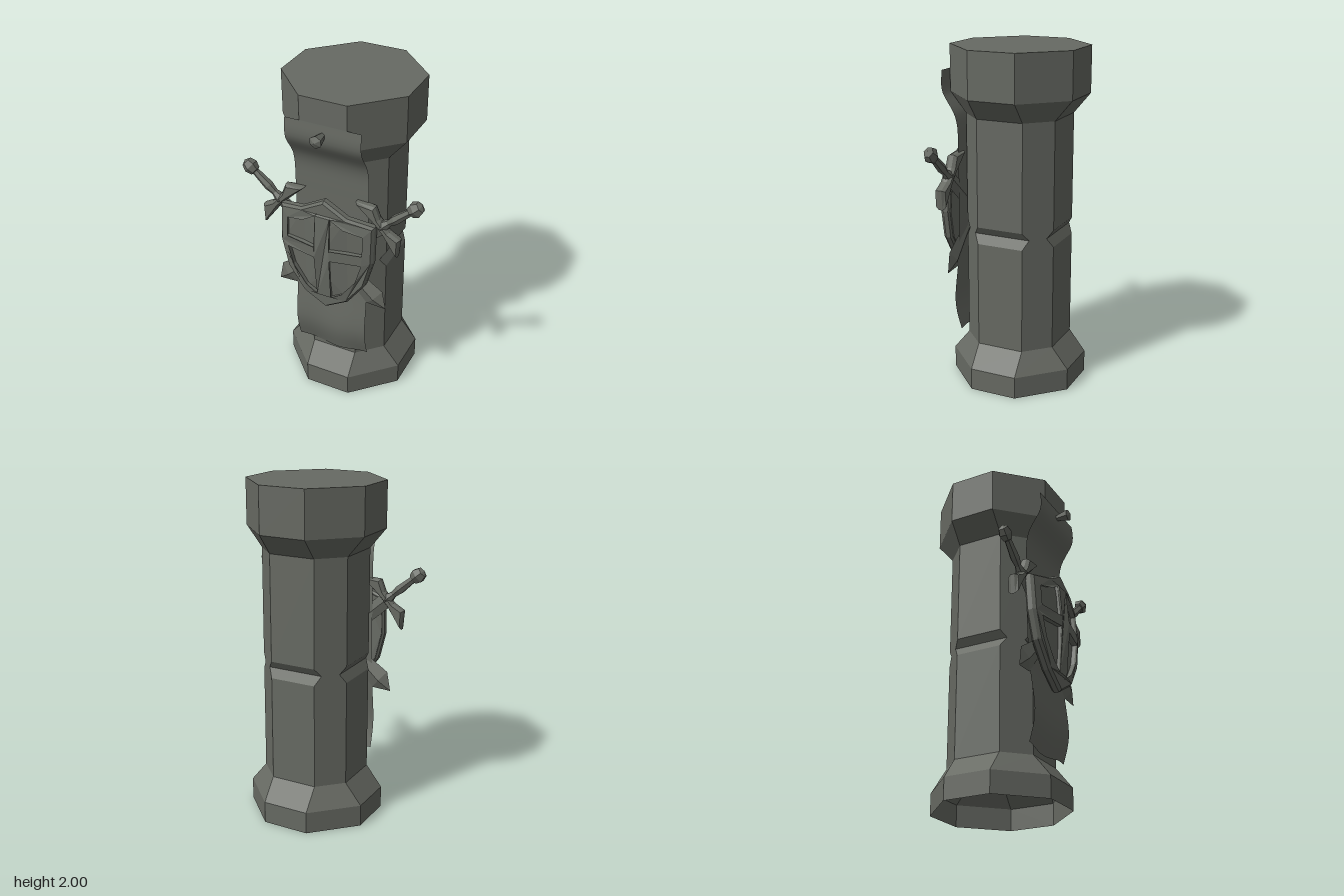
import * as THREE from 'three';

const stone = new THREE.MeshStandardMaterial({ color: 0x676a63, flatShading: true, side: THREE.DoubleSide });
stone.name = 'grey stone';
// same colour, smooth shading for the cloth
const cloth = new THREE.MeshStandardMaterial({ color: 0x676a63, side: THREE.DoubleSide });
cloth.name = 'grey cloth';

function add(parent, name, geometry, material = stone) {
  const mesh = new THREE.Mesh(geometry, material);
  mesh.name = name;
  parent.add(mesh);
  return mesh;
}

function shapeOf(points) {
  return new THREE.Shape(points.map(([x, y]) => new THREE.Vector2(x, y)));
}

// Eight-sided column lofted through rings: [height, apothem, half width of main faces]
function columnGeometry(rings, cz) {
  const pos = [];
  const loops = rings.map(([y, a, h]) =>
    [[a, h], [h, a], [-h, a], [-a, h], [-a, -h], [-h, -a], [h, -a], [a, -h]].map(([x, z]) => [x, y, z + cz]));
  for (let r = 0; r < loops.length - 1; r++) {
    for (let i = 0; i < 8; i++) {
      const j = (i + 1) % 8, b = loops[r], t = loops[r + 1];
      pos.push(...b[i], ...t[i], ...b[j], ...b[j], ...t[i], ...t[j]);
    }
  }
  const top = loops[loops.length - 1];
  for (let i = 0; i < 8; i++) pos.push(0, top[0][1], cz, ...top[(i + 1) % 8], ...top[i]);
  const g = new THREE.BufferGeometry();
  g.setAttribute('position', new THREE.Float32BufferAttribute(pos, 3));
  g.computeVertexNormals();
  return g;
}

// Hanging cloth that follows the column and billows near the hem
function bannerGeometry() {
  const path = new THREE.SplineCurve([[0.328, 1.86], [0.328, 1.74], [0.245, 1.59], [0.232, 1.4], [0.235, 1.0],
    [0.245, 0.75], [0.272, 0.47], [0.235, 0.29]].map(([z, y]) => new THREE.Vector2(z, y)));
  const g = new THREE.PlaneGeometry(0.45, 1, 12, 40);
  const p = g.attributes.position;
  for (let i = 0; i < p.count; i++) {
    const t = 0.5 - p.getY(i), x = p.getX(i);
    const c = path.getPoint(t);
    const loose = Math.max(0, t - 0.6) / 0.4;
    p.setY(i, c.y - 0.012 * loose * Math.sin(x * 16 + 1.7));
    p.setZ(i, c.x + 0.008 * loose * Math.sin(x * 18));
  }
  g.computeVertexNormals();
  return g;
}

// Bow a flat plate backwards towards its edges
function bow(g, z0) {
  const p = g.attributes.position;
  for (let i = 0; i < p.count; i++) {
    const x = p.getX(i), y = p.getY(i) - 1.05;
    p.setZ(i, p.getZ(i) + z0 - 0.68 * x * x - 0.27 * y * y);
  }
  g.computeVertexNormals();
  return g;
}

function makeShield() {
  const shield = new THREE.Group();
  shield.name = 'shield';
  const half = [[0, 1.397], [0.14, 1.318], [0.29, 1.28], [0.29, 1.05], [0.245, 0.88], [0.14, 0.735], [0, 0.65]];
  const flip = (pts) => pts.map(([x, y]) => [-x, y]).reverse();

  // Raised rim and cross, with four openings
  const frame = shapeOf([...half, ...flip(half).slice(1, -1)]);
  const upper = [[0.036, 1.085], [0.036, 1.315], [0.13, 1.26], [0.246, 1.23], [0.246, 1.085]];
  const lower = [[0.036, 1.04], [0.244, 1.04], [0.205, 0.9], [0.12, 0.785], [0.036, 0.735]];
  for (const hole of [upper, lower]) {
    frame.holes.push(shapeOf(hole), shapeOf(flip(hole)));
  }
  add(shield, 'shieldFrame', bow(new THREE.ExtrudeGeometry(frame, {
    depth: 0.03, bevelEnabled: true, bevelSize: 0.012, bevelThickness: 0.014, bevelOffset: -0.012, bevelSegments: 1,
  }), 0.33));

  // Recessed field in two halves
  const field = half.map(([x, y]) => [x * 0.95, 1.04 + (y - 1.04) * 0.95]);
  field.push([0, 0.9], [0, 1.06], [0, 1.2]);
  for (const pts of [field, flip(field)]) {
    add(shield, 'shieldField', bow(new THREE.ExtrudeGeometry(shapeOf(pts), { depth: 0.035, bevelEnabled: false }), 0.31));
  }
  return shield;
}

// Sword with the guard at its origin and the pommel up
function makeSword() {
  const sword = new THREE.Group();
  sword.name = 'sword';
  const lathe = (pts, n) => new THREE.LatheGeometry(pts.map(([r, y]) => new THREE.Vector2(r, y)), n);

  add(sword, 'blade', lathe([[0, -0.88], [0.075, -0.785], [0.05, -0.6], [0.045, 0]], 4)).scale.z = 0.36;
  add(sword, 'grip', lathe([[0.036, 0], [0.02, 0.05], [0.029, 0.1], [0.022, 0.2], [0.022, 0.24]], 6));
  const pommel = add(sword, 'pommel', lathe([[0, 0.2], [0.034, 0.214], [0.048, 0.25], [0.034, 0.286], [0, 0.3]], 6));
  pommel.scale.z = 0.85;

  // Guard with flared ends sweeping towards the blade
  const arm = [[0.045, 0.02], [0.115, 0.045], [0.195, -0.04], [0.075, -0.03], [0.035, -0.025]];
  const guard = shapeOf([...arm, ...arm.map(([x, y]) => [-x, y]).reverse()]);
  const g = new THREE.ExtrudeGeometry(guard, {
    depth: 0.024, bevelEnabled: true, bevelSize: 0.012, bevelThickness: 0.02, bevelOffset: -0.012, bevelSegments: 1,
  });
  g.translate(0, 0, -0.012);
  add(sword, 'guard', g);
  const boss = add(sword, 'guardBoss', new THREE.OctahedronGeometry(0.05));
  boss.scale.z = 0.8;
  return sword;
}

export function createModel() {
  const model = new THREE.Group();
  model.name = 'towerColumn';

  // Column, hollow from below, with a groove across each main face
  add(model, 'column', columnGeometry([
    [0, 0.375, 0.14], [0.13, 0.375, 0.14], [0.255, 0.275, 0.14],
    [0.88, 0.275, 0.14], [0.935, 0.245, 0.17], [0.98, 0.275, 0.14],
    [1.61, 0.275, 0.14], [1.73, 0.375, 0.14], [2, 0.375, 0.14],
  ], -0.053));

  add(model, 'banner', bannerGeometry(), cloth);

  // Peg holding the banner
  const peg = add(model, 'bannerPeg', new THREE.LatheGeometry(
    [[0.015, 0], [0.037, 0.09], [0, 0.107]].map(([r, y]) => new THREE.Vector2(r, y)), 6));
  peg.rotation.x = Math.PI / 2;
  peg.position.set(0, 1.8, 0.318);

  model.add(makeShield());

  // Crossed swords behind the shield
  for (const side of [-1, 1]) {
    const sword = makeSword();
    sword.name = side < 0 ? 'rightSword' : 'leftSword';
    sword.position.set(side * 0.317, 1.275, 0.247);
    sword.rotation.z = -side * 0.856;
    model.add(sword);
  }
  return model;
}
